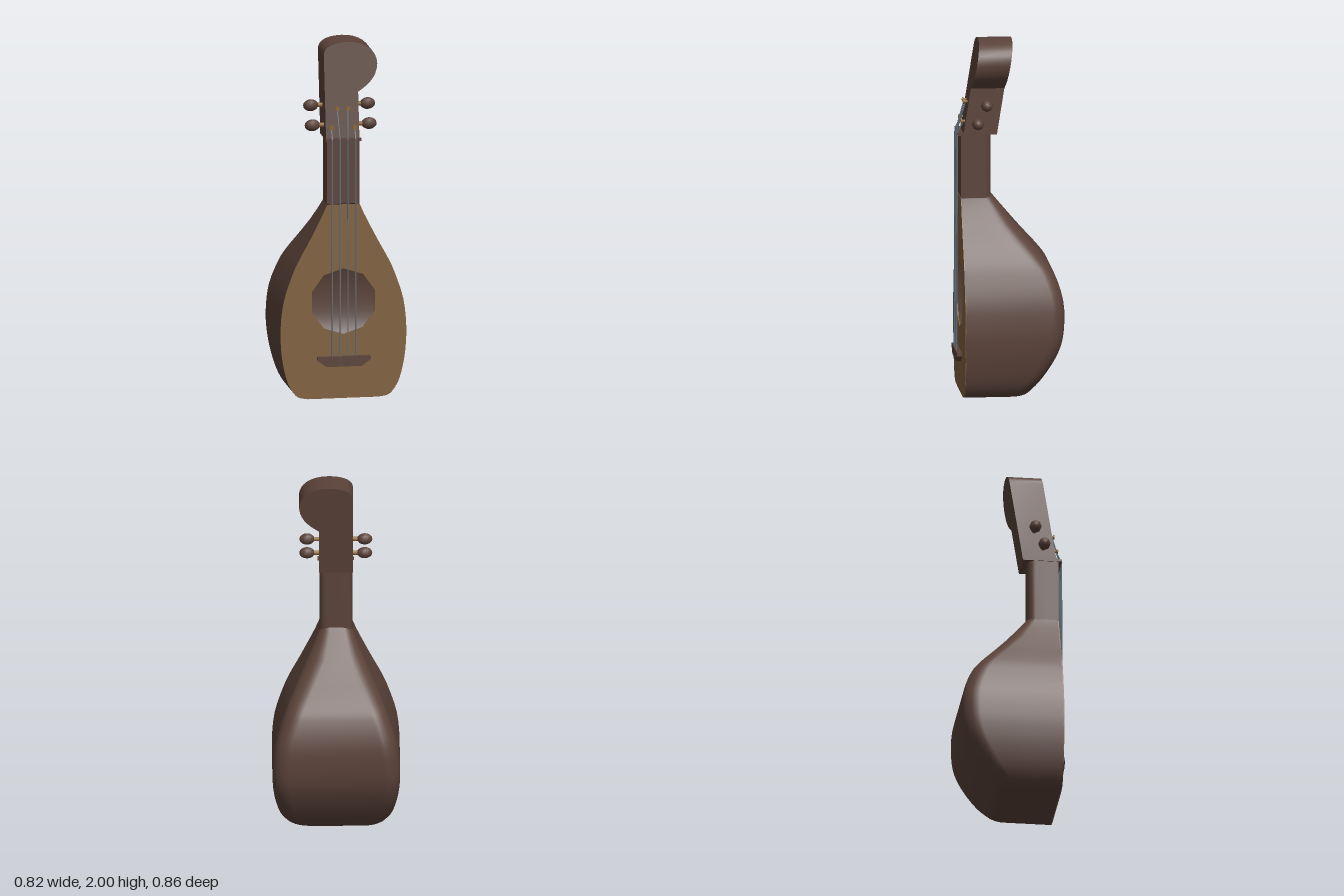
import * as THREE from 'three';
import { toCreasedNormals } from 'three/addons/utils/BufferGeometryUtils.js';

const FRONT = 0.257; // plane of the soundboard

function material(name, color, side = THREE.FrontSide) {
  const m = new THREE.MeshStandardMaterial({ color, side });
  m.name = name;
  return m;
}

// U-shaped section: square at the front, rounded at the back, as [x, z] pairs
function section(hw, depth, r, steps = 6) {
  const back = FRONT - depth;
  const pts = [[hw, FRONT], [hw, (FRONT + back + r) / 2]];
  for (let i = 0; i <= steps; i++) {
    const a = (i / steps) * Math.PI / 2;
    pts.push([hw - r + r * Math.cos(a), back + r - r * Math.sin(a)]);
  }
  return [...pts, ...pts.map(([x, z]) => [-x, z]).reverse()];
}

// Flat shape of a horizontal section, ready to be turned upright
const sectionShape = (pts) => new THREE.Shape(pts.map(([x, z]) => new THREE.Vector2(x, -z)));

function loft(rings, heights) {
  const n = rings[0].length, pos = [], index = [];
  rings.forEach((ring, i) => ring.forEach(([x, z]) => pos.push(x, heights[i], z)));
  for (let i = 0; i < rings.length - 1; i++) {
    for (let j = 0; j < n - 1; j++) {
      const a = i * n + j, d = a + n;
      index.push(a, a + 1, d + 1, a, d + 1, d);
    }
  }
  const g = new THREE.BufferGeometry();
  g.setAttribute('position', new THREE.Float32BufferAttribute(pos, 3));
  g.setIndex(index);
  g.computeVertexNormals();
  return g;
}

export function createModel() {
  const wood = material('dark wood', 0x5a4239);
  const shell = material('shell wood', 0x5a4239, THREE.DoubleSide);
  const pale = material('soundboard wood', 0x80603f, THREE.DoubleSide);
  const brass = material('brass', 0x8c6734);
  const steel = material('steel', 0x65717a);

  const model = new THREE.Group();
  model.name = 'lute';
  const lute = new THREE.Group();
  lute.name = 'instrument';
  lute.rotation.y = 1.002;
  lute.position.set(0.004, 0, -0.006);
  model.add(lute);

  const add = (name, geometry, mat, parent = lute) => {
    const m = new THREE.Mesh(geometry, mat);
    m.name = name;
    parent.add(m);
    return m;
  };
  const rod = (name, from, to, radius, mat, sides = 6) => {
    const a = new THREE.Vector3(...from), b = new THREE.Vector3(...to);
    const m = add(name, new THREE.CylinderGeometry(radius, radius, a.distanceTo(b), sides), mat);
    m.position.copy(a).add(b).multiplyScalar(0.5);
    m.quaternion.setFromUnitVectors(new THREE.Vector3(0, 1, 0), b.sub(a).normalize());
    return m;
  };

  // Bowl: half-width, height and depth along the body
  const profile = new THREE.CatmullRomCurve3([
    [0.2, 0, 0.33], [0.255, 0.012, 0.355], [0.29, 0.05, 0.39], [0.315, 0.1, 0.43],
    [0.34, 0.2, 0.495], [0.352, 0.3, 0.54], [0.354, 0.4, 0.557], [0.338, 0.55, 0.553],
    [0.29, 0.7, 0.505], [0.26, 0.77, 0.46], [0.19, 0.9, 0.35], [0.092, 1.1, 0.185], [0.088, 1.125, 0.165],
  ].map((p) => new THREE.Vector3(...p)), false, 'centripetal').getPoints(36);
  const rings = profile.map((p) => section(p.x, p.z, Math.min(0.09, p.x * 0.6)));
  add('bowl', loft(rings, profile.map((p) => p.y)), shell);
  const base = new THREE.ShapeGeometry(sectionShape(rings[0]));
  base.rotateX(-Math.PI / 2);
  add('bowlBase', base, shell);

  // Soundboard with a ten-sided sound hole
  const edge = profile.filter((p) => p.y <= 1.105);
  const board = new THREE.Shape([
    ...edge.map((p) => new THREE.Vector2(p.x, p.y)),
    ...edge.map((p) => new THREE.Vector2(-p.x, p.y)).reverse(),
  ]);
  const hole = [];
  for (let i = 0; i < 10; i++) {
    const a = Math.PI / 2 - (i / 10) * Math.PI * 2;
    hole.push(new THREE.Vector2(0.187 * Math.cos(a), 0.55 + 0.187 * Math.sin(a)));
  }
  board.holes.push(new THREE.Path(hole));
  const boardGeo = new THREE.ExtrudeGeometry(board, { depth: 0.006, bevelEnabled: false });
  boardGeo.translate(0, 0, FRONT - 0.005);
  add('soundboard', boardGeo, pale);

  // Neck
  const neckGeo = new THREE.ExtrudeGeometry(sectionShape(section(0.091, 0.168, 0.04)), { depth: 0.36, bevelEnabled: false });
  neckGeo.rotateX(-Math.PI / 2);
  neckGeo.translate(0, 1.105, 0);
  add('neck', toCreasedNormals(neckGeo, 0.6), wood);

  // Head: a sideways scroll, leaning back
  const headShape = new THREE.Shape();
  headShape.moveTo(-0.095, 1.463);
  headShape.lineTo(0.093, 1.463);
  headShape.lineTo(0.093, 1.725);
  headShape.bezierCurveTo(0.13, 1.75, 0.2, 1.79, 0.205, 1.875);
  headShape.bezierCurveTo(0.205, 1.95, 0.14, 2, 0.04, 2);
  headShape.bezierCurveTo(-0.02, 2, -0.095, 1.985, -0.095, 1.93);
  const headGeo = new THREE.ExtrudeGeometry(headShape, { depth: 0.187, bevelEnabled: false, curveSegments: 8 });
  const hp = headGeo.attributes.position;
  const lean = (y) => 0.16 * (y - 1.463);
  for (let i = 0; i < hp.count; i++) hp.setZ(i, hp.getZ(i) + 0.058 - lean(hp.getY(i)));
  add('head', toCreasedNormals(headGeo, 0.6), wood);

  // Nut and bridge
  add('nut', new THREE.BoxGeometry(0.2, 0.014, 0.03), wood).position.set(0, 1.468, 0.26);
  const bridge = new THREE.Shape([[-0.1, 0.185], [0.1, 0.185], [0.15, 0.222], [0.15, 0.24], [-0.15, 0.24], [-0.15, 0.222]]
    .map((p) => new THREE.Vector2(...p)));
  const bridgeGeo = new THREE.ExtrudeGeometry(bridge, { depth: 0.03, bevelEnabled: false });
  bridgeGeo.translate(0, 0, FRONT);
  add('bridge', bridgeGeo, wood);

  // Tuning pegs, string posts and strings on both sides
  const knobGeo = new THREE.SphereGeometry(0.034, 8, 8);
  knobGeo.scale(1, 1.25, 1);
  knobGeo.rotateZ(Math.PI / 2);
  for (const side of [-1, 1]) {
    for (const [y, postX, stringX, pegZ] of [[1.64, 0.03, 0.022, 0.12], [1.537, 0.065, 0.066, 0.17]]) {
      const face = 0.245 - lean(y);
      rod('pegShaft', [side * 0.09, y, pegZ], [side * 0.135, y, pegZ], 0.013, brass, 8);
      add('pegKnob', knobGeo, wood).position.set(side * 0.16, y, pegZ);
      rod('stringPost', [side * postX, y, face - 0.01], [side * postX, y, face + 0.022], 0.008, brass, 8);
      rod('postCap', [side * postX, y, face + 0.016], [side * postX, y, face + 0.024], 0.013, brass, 8);
      rod('string', [side * stringX, 0.235, 0.28], [side * stringX, 1.472, 0.276], 0.004, steel);
      rod('stringEnd', [side * stringX, 1.472, 0.276], [side * postX, y, face + 0.01], 0.004, steel);
    }
  }
  return model;
}
